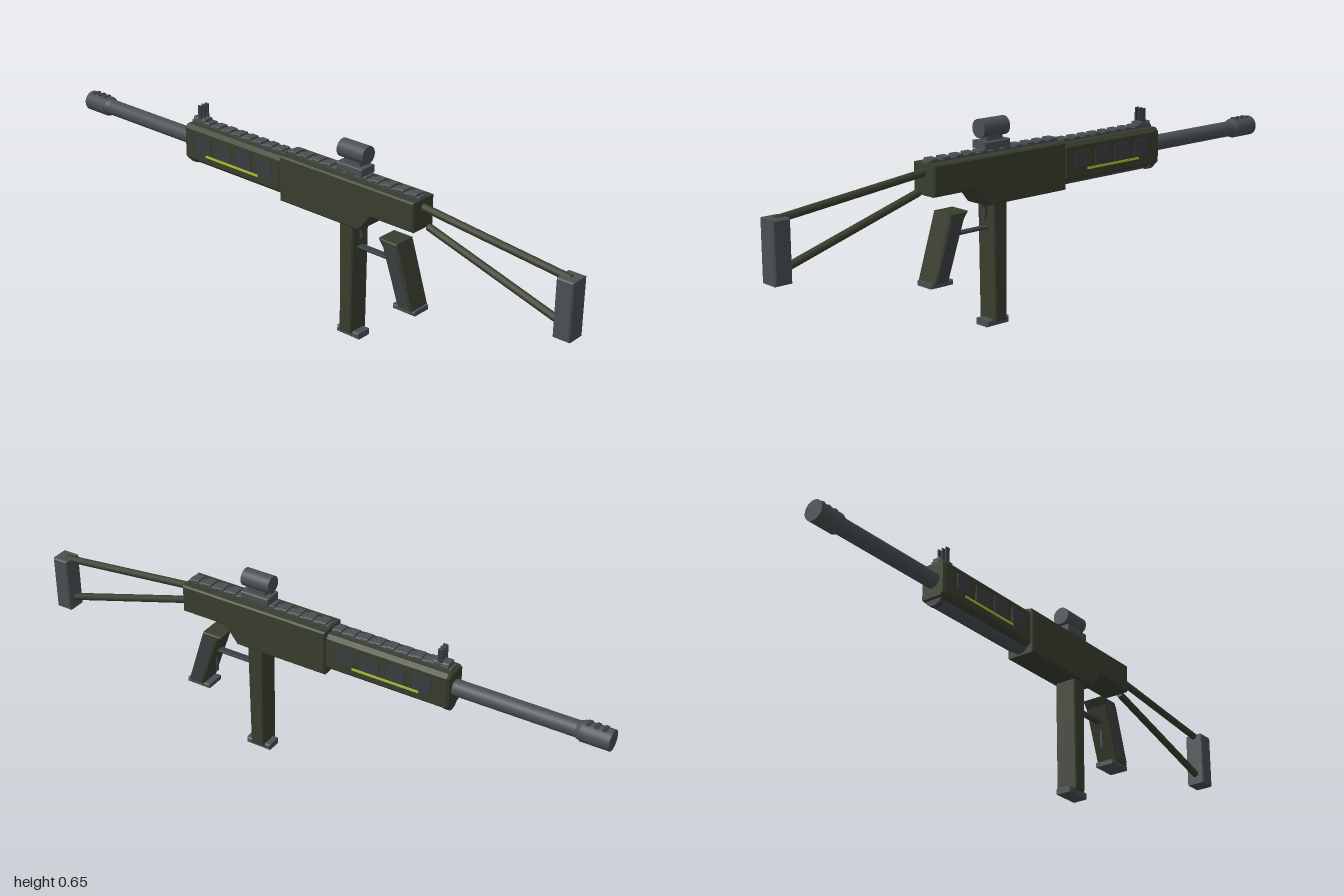
import * as THREE from 'three';

const paint = (name, color) => Object.assign(new THREE.MeshStandardMaterial({ color }), { name });

export function createModel() {
  const model = new THREE.Group();
  model.name = 'rifle';
  const green = paint('olive green', 0x383e2e);
  const grey = paint('gunmetal grey', 0x4a4f52);
  const dark = paint('dark grey', 0x3a3e41);
  const lime = paint('lime', 0xa9c030);

  const add = (name, geometry, material, parent = model) => {
    const mesh = new THREE.Mesh(geometry, material);
    mesh.name = name;
    parent.add(mesh);
    return mesh;
  };

  // Side profile of [z, y] points, extruded across x with a chamfer
  const slab = (points, width, bevel) => {
    const shape = new THREE.Shape(points.map(([z, y]) => new THREE.Vector2(z, y)));
    const g = new THREE.ExtrudeGeometry(shape, {
      depth: width - 2 * bevel, bevelEnabled: bevel > 0, bevelThickness: bevel,
      bevelSize: bevel, bevelOffset: -bevel, bevelSegments: 1,
    });
    return g.translate(0, 0, bevel - width / 2).rotateY(-Math.PI / 2);
  };
  // Chamfered block given by its y and z ranges
  const block = (width, y0, y1, z0, z1, bevel = 0.004) =>
    slab([[z0, y0], [z1, y0], [z1, y1], [z0, y1]], width, bevel);
  // Cylinder lying along z
  const tube = (radius, y, z0, z1, sides = 24) =>
    new THREE.CylinderGeometry(radius, radius, z1 - z0, sides)
      .rotateX(Math.PI / 2).translate(0, y, (z0 + z1) / 2);
  // Round rod between two [z, y] points
  const rod = (a, b, radius) => {
    const dz = b[0] - a[0], dy = b[1] - a[1];
    return new THREE.CylinderGeometry(radius, radius, Math.hypot(dz, dy), 12)
      .rotateX(Math.atan2(dz, dy)).translate(0, (a[1] + b[1]) / 2, (a[0] + b[0]) / 2);
  };

  // Receiver with stepped underside
  add('receiver', slab([[-0.075, 0.39], [0.25, 0.39], [0.295, 0.447], [0.455, 0.447],
    [0.455, 0.543], [-0.075, 0.543]], 0.098, 0.005), green);

  // Handguard with chamfered long edges
  const c = 0.012;
  const section = new THREE.Shape([[-0.045 + c, 0.41], [0.045 - c, 0.41], [0.045, 0.41 + c],
    [0.045, 0.535 - c], [0.045 - c, 0.535], [-0.045 + c, 0.535], [-0.045, 0.535 - c],
    [-0.045, 0.41 + c]].map(([x, y]) => new THREE.Vector2(x, y)));
  add('handguard', new THREE.ExtrudeGeometry(section, {
    depth: 0.41, bevelThickness: 0.008, bevelSize: 0.006, bevelOffset: -0.006, bevelSegments: 1,
  }).translate(0, 0, -0.49), green);
  add('underTube', tube(0.03, 0.425, -0.48, -0.07), grey);
  add('underTubeCap', tube(0.034, 0.425, -0.492, -0.475), dark);

  // Handguard vents and accent strips on both sides
  for (const side of [-1, 1]) {
    for (let i = 0; i < 4; i++) {
      const vent = add('ventPanel', block(0.004, 0.452, 0.506, -0.031, 0.031, 0), dark);
      vent.position.set(side * 0.0455, 0, -0.145 - i * 0.088);
    }
    add('accentStrip', block(0.004, 0.442, 0.449, -0.4, -0.17, 0), lime).position.x = side * 0.046;
  }

  // Top rails with spaced lugs
  const rail = (name, y, z0, z1, count) => {
    const group = new THREE.Group();
    group.name = name;
    model.add(group);
    add('railBase', block(0.032, y - 0.006, y + 0.007, z0, z1, 0.002), grey, group);
    const step = (z1 - z0) / count;
    for (let i = 0; i < count; i++) {
      const z = z0 + (i + 0.5) * step;
      add('railLug', block(0.04, y + 0.005, y + 0.013, z - step * 0.3, z + step * 0.3, 0.002), grey, group);
    }
  };
  rail('receiverRail', 0.543, -0.07, 0.45, 11);
  rail('handguardRail', 0.535, -0.49, -0.08, 9);

  // Barrel and muzzle brake
  add('barrel', tube(0.026, 0.473, -0.99, -0.48), grey);
  add('muzzleCollar', new THREE.CylinderGeometry(0.026, 0.032, 0.015, 24)
    .rotateX(Math.PI / 2).translate(0, 0.473, -0.9), grey);
  add('muzzleBrake', tube(0.033, 0.473, -1, -0.908), grey);
  for (const z of [-0.975, -0.95, -0.925]) {
    add('muzzlePort', block(0.026, 0.5, 0.508, z - 0.006, z + 0.006, 0), dark);
  }

  // Front sight with centre post and two ears
  add('frontSightBase', block(0.038, 0.538, 0.556, -0.482, -0.428), grey);
  for (const x of [-0.015, 0, 0.015]) {
    add('frontSightPost', block(0.006, 0.55, 0.6, -0.46, -0.444, 0.001), dark).position.x = x;
  }

  // Optic
  add('opticMount', block(0.062, 0.557, 0.581, 0.142, 0.243, 0.003), grey);
  add('opticNeck', block(0.034, 0.575, 0.6, 0.16, 0.225, 0.003), grey);
  add('opticTube', tube(0.029, 0.619, 0.142, 0.243, 32), grey);

  // Open stock
  add('upperStockRod', rod([0.44, 0.517], [0.972, 0.46], 0.012), green);
  add('lowerStockRod', rod([0.475, 0.459], [0.955, 0.315], 0.012), green);
  add('buttPad', block(0.066, 0.28, 0.467, 0.943, 1, 0.004), grey);

  // Pistol grip with side panels
  add('grip', slab([[0.397, 0.18], [0.452, 0.18], [0.388, 0.385], [0.318, 0.385], [0.335, 0.36]],
    0.08, 0.004), green);
  for (const side of [-1, 1]) {
    add('gripPanel', slab([[0.403, 0.19], [0.443, 0.19], [0.387, 0.37], [0.342, 0.37]], 0.004, 0),
      dark).position.x = side * 0.0405;
  }
  add('gripBase', block(0.07, 0.167, 0.182, 0.375, 0.46, 0.003), grey);

  // Trigger and guard
  add('triggerGuard', block(0.024, 0.307, 0.315, 0.2, 0.365, 0.001), dark);
  add('guardPost', block(0.008, 0.225, 0.385, 0.361, 0.366, 0), dark);
  add('trigger', slab([[0.235, 0.395], [0.218, 0.395], [0.214, 0.37], [0.222, 0.338],
    [0.229, 0.34], [0.225, 0.37]], 0.014, 0.001), dark);

  // Magazine
  add('magazine', slab([[0.166, 0.015], [0.212, 0.015], [0.217, 0.395], [0.162, 0.395]], 0.076, 0.004), green);
  add('magazineBase', block(0.056, 0, 0.021, 0.147, 0.237, 0.004), grey);

  return model;
}
